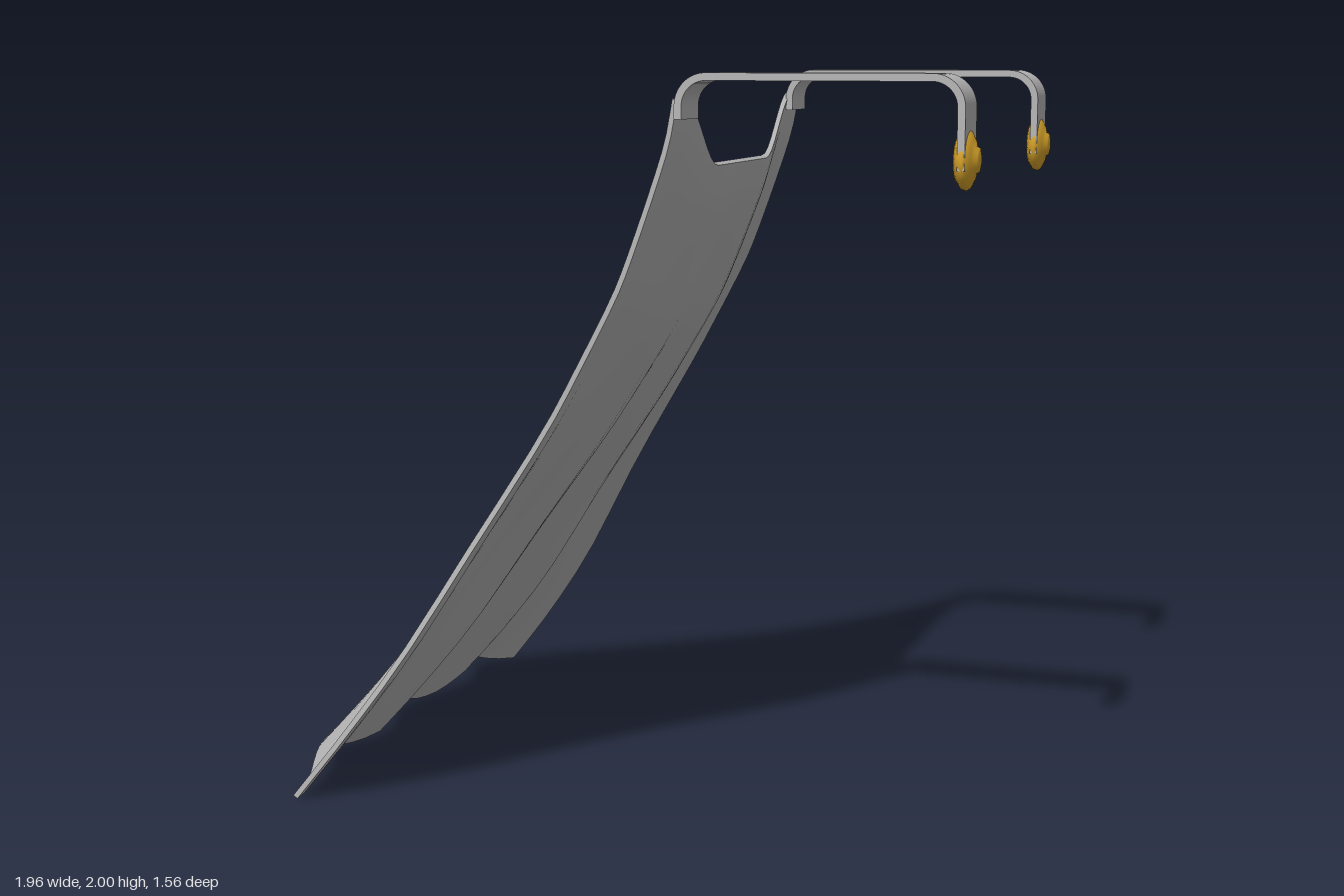
import * as THREE from 'three';

const { lerp, smoothstep } = THREE.MathUtils;

// Side profile of the cloth (x, y), from the shoulders down to the hem
const PROFILE = new THREE.SplineCurve([
  [0.188, 1.93], [0.165, 1.82], [0.12, 1.69], [0.05, 1.51], [0, 1.4], [-0.1, 1.22],
  [-0.2, 1.05], [-0.4, 0.74], [-0.6, 0.42], [-0.77, 0.19], [-0.92, 0.008],
].map(([x, y]) => new THREE.Vector2(x, y)));

// Fold depth across the hem: [position from -1 to 1, x offset]
const FOLDS = [
  [-1, 0.06], [-0.91, 0], [-0.77, -0.03], [-0.67, 0.01], [-0.55, 0.035], [-0.33, -0.03],
  [-0.1, -0.06], [0, -0.035], [0.115, 0.01], [0.22, 0.02], [0.33, -0.03], [0.44, -0.06],
  [0.64, 0], [0.88, 0.06], [1, 0.06],
];

function foldAt(s) {
  let i = 0;
  while (i < FOLDS.length - 2 && s > FOLDS[i + 1][0]) i++;
  const [a, b] = [FOLDS[i], FOLDS[i + 1]];
  return lerp(a[1], b[1], (s - a[0]) / (b[0] - a[0]));
}

// Thin box bent into a draped sheet
function clothGeometry() {
  const geo = new THREE.BoxGeometry(1, 1, 1, 36, 24, 1);
  const pos = geo.attributes.position;
  for (let i = 0; i < pos.count; i++) {
    const s = -2 * pos.getX(i);
    const p = PROFILE.getPoint(0.5 - pos.getY(i));
    const depth = pos.getZ(i) * 0.015;
    const drop = 1 - p.y / 1.93;
    const width = 0.59 + 0.19 * smoothstep(1.1 - p.y, 0, 1.1);
    const neck = 1.75 + 0.18 * smoothstep(Math.abs(s), 0.4, 0.85);
    const scallop = 0.03 * (1 + Math.cos(3 * Math.PI * s)) * drop ** 2;
    pos.setXYZ(i,
      p.x + foldAt(s) * drop ** 1.2 + depth * 0.84,
      p.y * neck / 1.93 + scallop - depth * 0.54,
      s * width);
  }
  geo.computeVertexNormals();
  return geo;
}

// Flat band with rounded bends over the shoulder
function strapGeometry() {
  const [x0, x1, top, r, th] = [0.19, 0.95, 2, 0.085, 0.02];
  const shape = new THREE.Shape();
  shape.moveTo(x0, 1.88);
  shape.lineTo(x0, top - r);
  shape.absarc(x0 + r, top - r, r, Math.PI, Math.PI / 2, true);
  shape.absarc(x1 - r, top - r, r, Math.PI / 2, 0, true);
  shape.lineTo(x1, 1.76);
  shape.lineTo(x1 - th, 1.76);
  shape.absarc(x1 - r, top - r, r - th, 0, Math.PI / 2, false);
  shape.absarc(x0 + r, top - r, r - th, Math.PI / 2, Math.PI, false);
  shape.lineTo(x0 + th, 1.88);
  shape.closePath();
  return new THREE.ExtrudeGeometry(shape, { depth: 0.145, bevelEnabled: false, curveSegments: 10 })
    .translate(0, 0, -0.0725);
}

// Domed disc with a raised centre, facing +x
function buttonGeometry() {
  const pts = [[0, -0.025], [0.055, -0.025], [0.074, -0.012], [0.078, 0], [0.072, 0.009],
    [0.052, 0.019], [0.035, 0.023], [0.031, 0.031], [0.018, 0.034], [0, 0.035]];
  return new THREE.LatheGeometry(pts.map(([x, y]) => new THREE.Vector2(x, y)), 28)
    .rotateZ(-Math.PI / 2);
}

export function createModel() {
  const cloth = new THREE.MeshStandardMaterial({ color: 0xb8b8b8 });
  cloth.name = 'grey cloth';
  const gold = new THREE.MeshStandardMaterial({ color: 0xd9a52b });
  gold.name = 'gold metal';

  const model = new THREE.Group();
  model.name = 'cape';
  const add = (name, geo, mat, x = 0, y = 0, z = 0) => {
    const mesh = new THREE.Mesh(geo, mat);
    mesh.name = name;
    mesh.position.set(x, y, z);
    model.add(mesh);
  };

  add('drapedCloth', clothGeometry(), cloth);

  // Mirrored shoulder straps and buttons
  const strap = strapGeometry();
  const button = buttonGeometry();
  for (const [side, z] of [['front', 0.53], ['back', -0.53]]) {
    add(side + 'Strap', strap, cloth, 0, 0, z);
    add(side + 'Button', button, gold, 0.942, 1.785, z);
  }
  return model;
}
